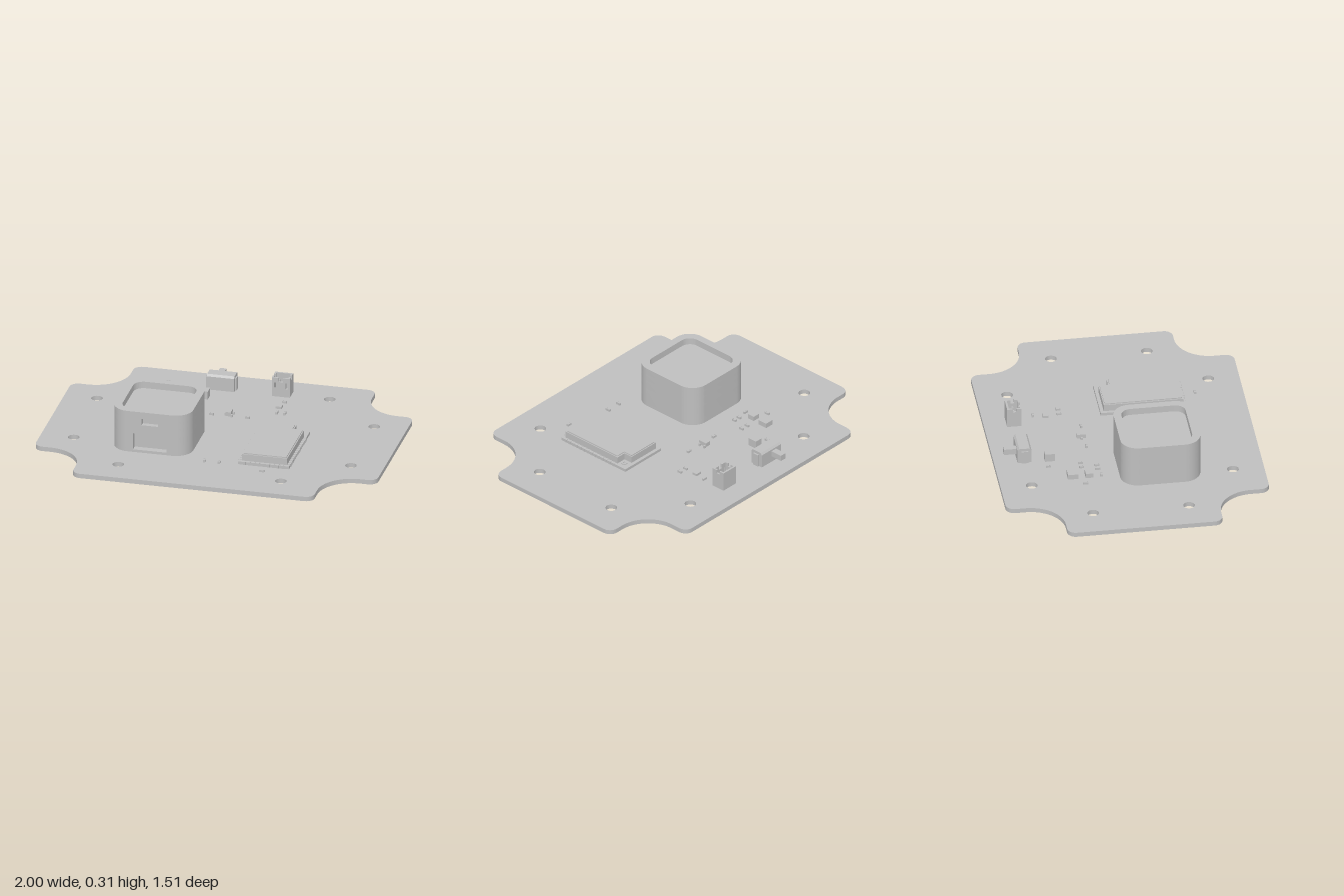
import * as THREE from 'three';
import { toCreasedNormals } from 'three/addons/utils/BufferGeometryUtils.js';

const TOP = 0.064, BOTTOM = 0.037; // board faces

export function createModel() {
  const model = new THREE.Group();
  model.name = 'circuitBoardAssembly';
  const grey = new THREE.MeshStandardMaterial({ color: 0xbfbfbf });
  grey.name = 'plain grey';

  const add = (name, geometry, parent = model) => {
    const mesh = new THREE.Mesh(geometry, grey);
    mesh.name = name;
    parent.add(mesh);
    return mesh;
  };
  const group = (name) => {
    const g = new THREE.Group();
    g.name = name;
    model.add(g);
    return g;
  };
  // Box given by its limits
  const box = (name, x0, x1, y0, y1, z0, z1, parent) => {
    const mesh = add(name, new THREE.BoxGeometry(x1 - x0, y1 - y0, z1 - z0), parent);
    mesh.position.set((x0 + x1) / 2, (y0 + y1) / 2, (z0 + z1) / 2);
    return mesh;
  };
  // Plan outline (x, z) raised from y0 to y1
  const slab = (name, shape, y0, y1, parent) => {
    const g = new THREE.ExtrudeGeometry(shape, { depth: y1 - y0, bevelEnabled: false, curveSegments: 12 });
    g.rotateX(Math.PI / 2).translate(0, y1, 0);
    return add(name, toCreasedNormals(g, 0.5), parent);
  };
  const circle = (x, z, r) => new THREE.Path().absarc(x, z, r, 0, Math.PI * 2, true);
  // Rounded rectangle, optionally notched in its +z side
  const roundRect = (x0, x1, z0, z1, r, notch) => {
    const s = new THREE.Shape();
    s.moveTo(x0 + r, z0).lineTo(x1 - r, z0);
    s.absarc(x1 - r, z0 + r, r, -Math.PI / 2, 0, false);
    s.absarc(x1 - r, z1 - r, r, 0, Math.PI / 2, false);
    if (notch) {
      const [a, b, d] = notch;
      s.lineTo(b, z1).lineTo(b, z1 - d).lineTo(a, z1 - d).lineTo(a, z1);
    }
    s.absarc(x0 + r, z1 - r, r, Math.PI / 2, Math.PI, false);
    s.absarc(x0 + r, z0 + r, r, Math.PI, Math.PI * 1.5, false);
    return s;
  };

  // Board: cross outline with scooped corners, built quadrant by quadrant
  const outline = [];
  const arc = (cx, cz, r, a0, a1) => {
    const pts = [];
    for (let i = 0; i <= 14; i++) {
      const a = a0 + (a1 - a0) * i / 14;
      pts.push(new THREE.Vector2(cx + r * Math.cos(a), cz + r * Math.sin(a)));
    }
    return pts;
  };
  const h = Math.PI / 2;
  const quadrant = [
    ...arc(0.95, 0.395, 0.05, 0, h),
    ...arc(0.905, 0.645, 0.2, -h, -Math.PI),
    ...arc(0.655, 0.705, 0.05, 0, h),
  ];
  for (const [sx, sz] of [[1, 1], [-1, 1], [-1, -1], [1, -1]]) {
    const pts = quadrant.map((p) => new THREE.Vector2(p.x * sx, p.y * sz));
    outline.push(...(sx * sz > 0 ? pts : pts.reverse()));
  }
  const board = new THREE.Shape(outline);
  for (const sx of [1, -1]) for (const sz of [1, -1]) {
    board.holes.push(circle(sx * 0.475, sz * 0.577, 0.033), circle(sx * 0.81, sz * 0.275, 0.033));
  }
  // Small solder holes below the sensor
  for (let i = 0; i < 6; i++) {
    board.holes.push(circle(-0.18, 0.12 + i * 0.04, 0.006));
    if (i < 5) board.holes.push(circle(-0.48, 0.16 + i * 0.04, 0.006), circle(-0.405 + i * 0.04, 0.36, 0.006));
  }
  slab('board', board, BOTTOM, TOP);

  // Sensor housing: stacked layers leave two front windows and an open top
  const sensor = group('sensorHousing');
  const layers = [
    [TOP, 0.08], [0.08, 0.18, [-0.435, -0.24, 0.04]], [0.18, 0.235],
    [0.235, 0.275, [-0.385, -0.29, 0.03]],
  ];
  for (const [y0, y1, notch] of layers) {
    slab('housingLayer', roundRect(-0.566, -0.108, -0.068, 0.39, 0.1, notch), y0, y1, sensor);
  }
  const rim = roundRect(-0.566, -0.108, -0.068, 0.39, 0.1);
  rim.holes.push(roundRect(-0.521, -0.153, -0.023, 0.345, 0.06));
  slab('housingRim', rim, 0.275, 0.315, sensor);

  // Radio module: carrier, notched shield, edge contacts
  const radio = group('radioModule');
  box('carrier', 0.183, 0.481, TOP, 0.081, -0.083, 0.41, radio);
  const shield = new THREE.Shape();
  shield.moveTo(0.202, -0.063).lineTo(0.407, -0.063).lineTo(0.407, -0.008).lineTo(0.466, -0.008)
    .lineTo(0.466, 0.393).lineTo(0.202, 0.393);
  slab('shield', shield, 0.081, 0.121, radio);
  slab('shieldLid', roundRect(0.208, 0.46, 0, 0.387, 0.006), 0.121, 0.127, radio);
  box('shieldLidEnd', 0.208, 0.401, 0.121, 0.127, -0.057, 0.006, radio);
  const marker = new THREE.Shape().absarc(0.438, -0.035, 0.017, 0, Math.PI * 2);
  marker.holes.push(circle(0.438, -0.035, 0.008));
  slab('antennaContact', marker, 0.081, 0.086, radio);
  for (let i = 0; i < 14; i++) {
    const z = 0.01 + i * 0.028;
    box('sideContact', 0.18, 0.484, TOP, 0.083, z - 0.006, z + 0.006, radio);
  }
  for (let i = 0; i < 9; i++) {
    const x = 0.22 + i * 0.028;
    box('endContact', x - 0.006, x + 0.006, TOP, 0.083, 0.4, 0.413, radio);
  }

  // Slide switch with lever, side lugs and pins
  const slide = group('slideSwitch');
  const bodyEnd = new THREE.Shape();
  bodyEnd.moveTo(-0.542, TOP).lineTo(-0.542, 0.145).lineTo(-0.552, 0.157).lineTo(-0.612, 0.157)
    .lineTo(-0.622, 0.145).lineTo(-0.622, TOP);
  const body = new THREE.ExtrudeGeometry(bodyEnd, { depth: 0.16, bevelEnabled: false });
  body.rotateY(-Math.PI / 2).translate(-0.075, 0, 0); // profile x becomes z
  add('switchBody', body, slide);
  for (const x of [-0.235, -0.075]) box('switchLug', x - 0.008, x + 0.008, TOP, 0.14, -0.6, -0.562, slide);
  box('switchLever', -0.195, -0.157, 0.1, 0.135, -0.694, -0.615, slide);
  for (let i = 0; i < 5; i++) {
    const x = -0.235 + i * 0.04;
    box('switchPin', x - 0.004, x + 0.004, 0.014, BOTTOM + 0.005, -0.585, -0.573, slide);
  }

  // Battery socket: open-topped box with slotted walls and two pins
  const socket = group('batterySocket');
  box('socketFloor', 0.145, 0.25, TOP, 0.09, -0.625, -0.542, socket);
  box('socketBack', 0.145, 0.25, 0.09, 0.18, -0.625, -0.614, socket);
  for (const [x0, x1] of [[0.145, 0.156], [0.239, 0.25]]) {
    box('socketSide', x0, x1, 0.09, 0.16, -0.614, -0.553, socket);
    box('socketSideTop', x0, x1, 0.16, 0.18, -0.614, -0.593, socket);
    box('socketSideTop', x0, x1, 0.16, 0.18, -0.572, -0.553, socket);
  }
  const front = new THREE.Shape();
  front.moveTo(0.145, 0.09).lineTo(0.25, 0.09).lineTo(0.25, 0.18).lineTo(0.211, 0.18)
    .lineTo(0.211, 0.155).lineTo(0.184, 0.155).lineTo(0.184, 0.18).lineTo(0.145, 0.18);
  for (const x of [0.157, 0.226]) {
    front.holes.push(new THREE.Path().moveTo(x, 0.115).lineTo(x, 0.15).lineTo(x + 0.012, 0.15).lineTo(x + 0.012, 0.115));
  }
  const frontWall = new THREE.ExtrudeGeometry(front, { depth: 0.011, bevelEnabled: false });
  add('socketFront', frontWall.translate(0, 0, -0.553), socket);
  for (const x of [0.178, 0.216]) {
    box('socketPin', x - 0.005, x + 0.005, 0.09, 0.15, -0.59, -0.58, socket);
    const tail = add('socketPinTail', new THREE.CylinderGeometry(0.007, 0.003, 0.042, 8), socket);
    tail.position.set(x, 0.021, -0.573);
  }

  // Larger components: centre x, z, width, depth, top
  const parts = group('components');
  const chips = [
    [-0.22, -0.437, 0.048, 0.058, 0.112], [-0.42, -0.335, 0.054, 0.058, 0.094],
    [-0.423, -0.24, 0.046, 0.044, 0.092], [0.224, -0.395, 0.036, 0.032, 0.078],
  ];
  for (const [x, z, w, d, y] of chips) {
    box('component', x - w / 2, x + w / 2, TOP, y, z - d / 2, z + d / 2, parts);
  }
  // Three-legged transistor
  box('transistorBody', -0.042, -0.01, 0.07, 0.095, -0.252, -0.2, parts);
  box('transistorLeg', -0.052, -0.04, TOP, 0.08, -0.232, -0.22, parts);
  for (const z of [-0.244, -0.208]) box('transistorLeg', -0.012, 0, TOP, 0.08, z - 0.006, z + 0.006, parts);

  // Tiny two-ended parts, lying along z or along x
  const alongZ = [[-0.3, -0.455], [-0.505, -0.27], [-0.335, -0.27], [-0.29, -0.27], [-0.365, -0.18],
    [-0.327, -0.18], [0.23, -0.315], [0.277, -0.315], [-0.01, 0.42], [0.077, 0.42]];
  const alongX = [[-0.43, -0.17], [-0.125, -0.21], [0.085, -0.21], [0.238, -0.467], [0.34, 0.48]];
  const tiny = (x, z, turn) => {
    const g = new THREE.Group();
    g.name = 'tinyComponent';
    box('tinyBody', -0.0055, 0.0055, 0, 0.012, -0.008, 0.008, g);
    for (const s of [-1, 1]) box('tinyEnd', -0.0065, 0.0065, 0, 0.014, s * 0.0105 - 0.0035, s * 0.0105 + 0.0035, g);
    g.position.set(x, TOP, z);
    g.rotation.y = turn;
    parts.add(g);
  };
  alongZ.forEach(([x, z]) => tiny(x, z, 0));
  alongX.forEach(([x, z]) => tiny(x, z, Math.PI / 2));

  return model;
}
